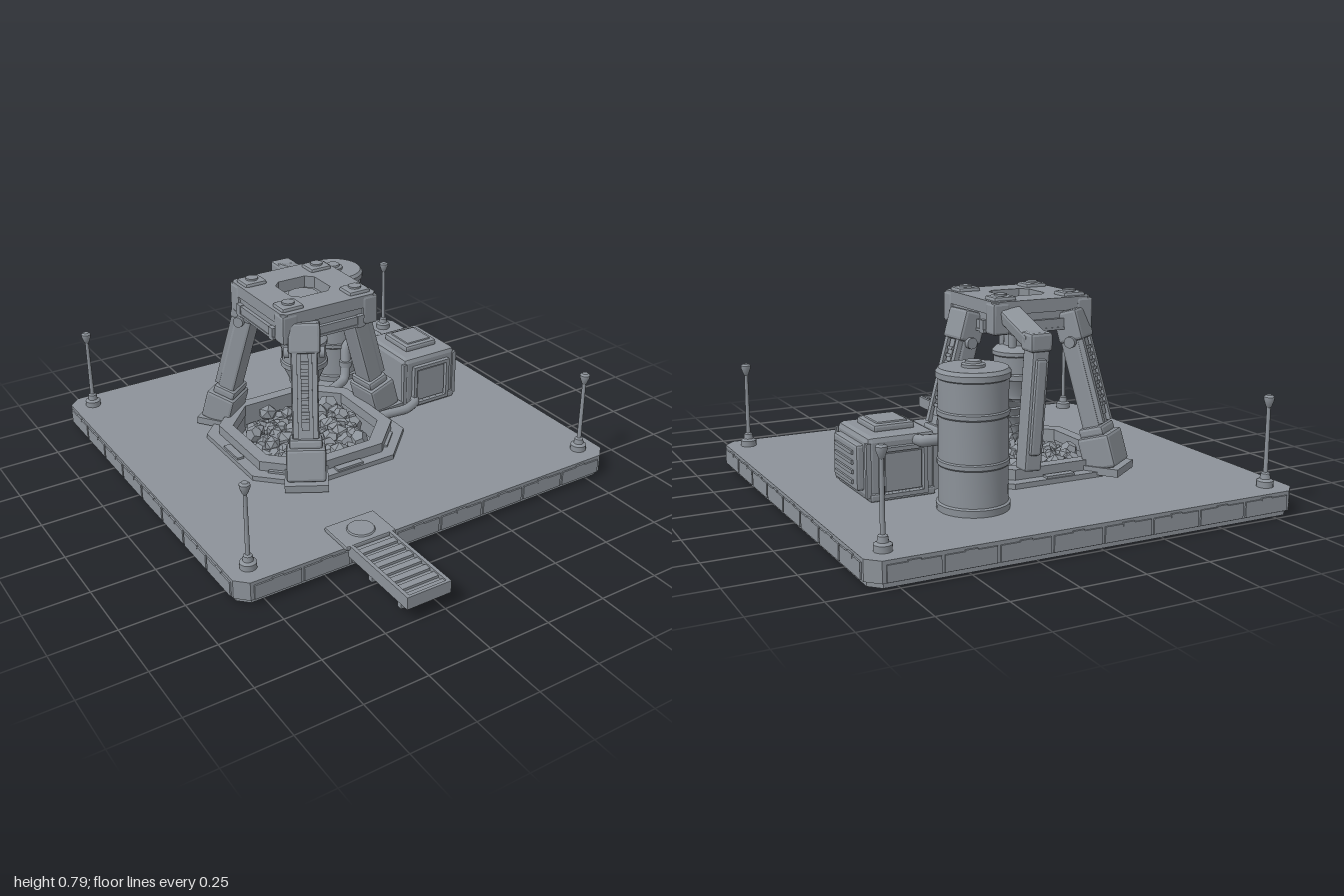
import * as THREE from 'three';
import { toCreasedNormals } from 'three/addons/utils/BufferGeometryUtils.js';
import { RoundedBoxGeometry } from 'three/addons/geometries/RoundedBoxGeometry.js';

const steel = new THREE.MeshStandardMaterial({ color: 0x8c9299 });
steel.name = 'steelGrey';

function add(parent, name, geo, x = 0, y = 0, z = 0) {
  const m = new THREE.Mesh(geo, steel);
  m.name = name;
  m.position.set(x, y, z);
  parent.add(m);
  return m;
}
function group(parent, name, x = 0, y = 0, z = 0) {
  const g = new THREE.Group();
  g.name = name;
  g.position.set(x, y, z);
  parent.add(g);
  return g;
}
// Creases are found at a larger scale so that close vertices stay distinct
const crease = (geo, angle) => toCreasedNormals(geo.scale(100, 100, 100), angle).scale(0.01, 0.01, 0.01);
const box = (p, name, w, h, d, x, y, z) => add(p, name, new THREE.BoxGeometry(w, h, d), x, y, z);
const softBox = (p, name, w, h, d, x, y, z, r = 0.012) =>
  add(p, name, crease(new RoundedBoxGeometry(w, h, d, 1, r), 0.3), x, y, z);
const lathe = (pts, seg = 24) =>
  crease(new THREE.LatheGeometry(pts.map(([r, y]) => new THREE.Vector2(r, y)), seg), 0.6);

// Rectangle with cut corners, centred on (0, cy)
function cutRect(Type, hx, hy, c, cy = 0) {
  const p = [[hx, c - hy], [hx, hy - c], [hx - c, hy], [c - hx, hy], [-hx, hy - c], [-hx, c - hy], [c - hx, -hy], [hx - c, -hy]];
  return new Type(p.map(([x, y]) => new THREE.Vector2(x, y + cy)));
}
// Upright prism, optionally with a hole, standing on its local y = 0
function prism(outer, hole, height) {
  const s = cutRect(THREE.Shape, ...outer);
  if (hole) s.holes.push(cutRect(THREE.Path, ...hole));
  return new THREE.ExtrudeGeometry(s, { depth: height, bevelEnabled: false }).rotateX(-Math.PI / 2);
}
// Box-section beam between two points
function beam(p, name, w, d, a, b) {
  const A = new THREE.Vector3(...a), B = new THREE.Vector3(...b);
  const m = softBox(p, name, w, A.distanceTo(B), d, 0, 0, 0, 0.01);
  m.position.copy(A).add(B).multiplyScalar(0.5);
  m.quaternion.setFromUnitVectors(new THREE.Vector3(0, 1, 0), B.sub(A).normalize());
}
function pipe(p, name, pts, r) {
  const c = new THREE.CatmullRomCurve3(pts.map(v => new THREE.Vector3(...v)), false, 'catmullrom', 0.3);
  add(p, name, new THREE.TubeGeometry(c, 32, r, 10));
}

// Centres of the drill and of the platform
const CX = -0.12, CZ = -0.165, PZ = -0.185;

function buildPlatform(root) {
  const g = group(root, 'platform', 0, 0, PZ);
  add(g, 'platformBottom', prism([0.84, 0.795, 0.04], null, 0.02));
  // Deck with an octagonal pit
  const pit = cutRect(THREE.Path, 0.27, 0.27, 0.125, PZ - CZ).getPoints();
  const deck = cutRect(THREE.Shape, 0.853, 0.808, 0.045);
  deck.holes.push(new THREE.Path(pit.map(v => new THREE.Vector2(v.x + CX, v.y))));
  add(g, 'deck', new THREE.ExtrudeGeometry(deck, { depth: 0.075, bevelEnabled: false }).rotateX(-Math.PI / 2), 0, 0.02, 0);
  // Armoured edge plates and latches
  const sides = [[0, 0.808, 1.6], [Math.PI / 2, 0.853, 1.51], [Math.PI, 0.808, 1.6], [-Math.PI / 2, 0.853, 1.51]];
  for (const [rot, off, len] of sides) {
    const s = group(g, 'edge');
    s.rotation.y = rot;
    const w = len / 8;
    for (let i = 0; i < 8; i++) {
      const x = (i + 0.5) * w - len / 2;
      box(s, 'edgePlate', w - 0.012, 0.058, 0.012, x, 0.052, off);
      box(s, 'edgeLatch', 0.045, 0.014, 0.014, x, 0.079, off);
    }
  }
}

function buildPit(root) {
  const g = group(root, 'pit', CX, 0, CZ);
  add(g, 'pitPad', prism([0.36, 0.36, 0.16], [0.27, 0.27, 0.125], 0.02), 0, 0.095, 0);
  add(g, 'pitRim', prism([0.315, 0.315, 0.14], [0.265, 0.265, 0.122], 0.045), 0, 0.11, 0);
  add(g, 'pitFloor', prism([0.27, 0.27, 0.125], null, 0.02), 0, 0.02, 0);
  for (let i = 0; i < 8; i++) {
    const a = i * Math.PI / 4, r = i % 2 ? 0.345 : 0.338;
    box(g, 'padClamp', 0.03, 0.012, 0.12, Math.cos(a) * r, 0.118, Math.sin(a) * r).rotation.y = -a;
  }
  // Broken ore heap
  let seed = 7;
  const rnd = () => (seed = (seed * 16807) % 2147483647) / 2147483647;
  for (let i = 0; i < 95; i++) {
    const r = 0.235 * Math.sqrt((i + 0.5) / 95), a = i * 2.39996;
    const size = 0.026 + rnd() * 0.022;
    const rock = add(g, 'rock', i % 2 ? new THREE.IcosahedronGeometry(size) : new THREE.DodecahedronGeometry(size),
      Math.cos(a) * r, 0.075 + rnd() * 0.05, Math.sin(a) * r);
    rock.rotation.set(rnd() * 6, rnd() * 6, rnd() * 6);
    rock.scale.set(1, 0.75 + rnd() * 0.3, 0.9 + rnd() * 0.3);
  }
}

function buildLeg(root, degrees) {
  const turn = group(root, 'leg', CX, 0, CZ);
  turn.rotation.y = -degrees * Math.PI / 180;
  const leg = group(turn, 'legFrame', 0.385, 0.12, 0);
  leg.rotation.z = Math.atan2(0.165, 0.57);
  softBox(leg, 'legBeam', 0.075, 0.6, 0.105, 0, 0.31, 0);
  softBox(leg, 'foot', 0.13, 0.13, 0.155, 0.005, 0.065, 0);
  softBox(leg, 'footCollar', 0.1, 0.04, 0.13, 0, 0.145, 0);
  // Outer cover with a ribbed channel
  for (const z of [-0.038, 0.038]) box(leg, 'coverRail', 0.022, 0.38, 0.02, 0.043, 0.36, z);
  box(leg, 'coverPlate', 0.014, 0.3, 0.03, 0.042, 0.35, 0);
  for (let i = 0; i < 9; i++) box(leg, 'coverRib', 0.01, 0.012, 0.03, 0.05, 0.24 + i * 0.028, 0);
  softBox(leg, 'legHead', 0.1, 0.12, 0.125, 0.01, 0.56, 0);
  for (const z of [-0.068, 0.068])
    add(leg, 'legBolt', new THREE.CylinderGeometry(0.022, 0.022, 0.02, 12), 0.01, 0.5, z).rotation.x = Math.PI / 2;
  box(turn, 'footPlate', 0.16, 0.03, 0.17, 0.385, 0.118, 0);
}

function buildHead(root) {
  const g = group(root, 'headFrame', CX, 0, CZ);
  add(g, 'headTop', prism([0.212, 0.212, 0.02], [0.09, 0.09, 0.03], 0.05), 0, 0.72, 0);
  add(g, 'headBody', prism([0.205, 0.205, 0.03], [0.055, 0.055, 0.03], 0.075), 0, 0.647, 0);
  add(g, 'drillMount', new THREE.CylinderGeometry(0.06, 0.06, 0.1, 20), 0, 0.69, 0);
  for (const x of [-1, 1]) for (const z of [-1, 1]) {
    softBox(g, 'cornerPad', 0.095, 0.025, 0.085, x * 0.15, 0.772, z * 0.145, 0.01);
    add(g, 'cornerBolt', new THREE.CylinderGeometry(0.025, 0.025, 0.02, 12), x * 0.15, 0.782, z * 0.145);
    softBox(g, 'cornerBlock', 0.07, 0.12, 0.07, x * 0.18, 0.705, z * 0.18, 0.01);
  }
  // Recessed side panels
  for (let i = 0; i < 4; i++) {
    const s = group(g, 'headSide');
    s.rotation.y = i * Math.PI / 2;
    box(s, 'sidePanel', 0.28, 0.035, 0.02, 0, 0.675, 0.21);
    box(s, 'sidePanelLip', 0.3, 0.01, 0.03, 0, 0.655, 0.208);
    for (const x of [-0.13, 0.13]) box(s, 'sideStud', 0.03, 0.05, 0.026, x, 0.67, 0.21);
  }
}

function buildDrill(root) {
  const g = group(root, 'drill', CX, 0, CZ);
  add(g, 'drillBody', lathe([[0, 0.335], [0.048, 0.335], [0.052, 0.35], [0.062, 0.355], [0.062, 0.37], [0.088, 0.43], [0.096, 0.435],
    [0.096, 0.455], [0.09, 0.46], [0.09, 0.525], [0.096, 0.53], [0.096, 0.545], [0.08, 0.56], [0.05, 0.565], [0.045, 0.66]]));
  for (let i = 0; i < 4; i++) {
    const a = i * Math.PI / 2 + Math.PI / 4;
    add(g, 'drillPiston', new THREE.CylinderGeometry(0.016, 0.016, 0.13, 10), Math.cos(a) * 0.055, 0.6, Math.sin(a) * 0.055);
  }
  // Spiral bit: the radius follows a saw-tooth thread
  const bit = new THREE.CylinderGeometry(1, 1, 0.18, 32, 54);
  const p = bit.attributes.position;
  for (let i = 0; i < p.count; i++) {
    const x = p.getX(i), y = p.getY(i), z = p.getZ(i);
    const t = THREE.MathUtils.clamp((y + 0.09) / 0.18, 0, 1);
    const saw = THREE.MathUtils.euclideanModulo(t * 5 + Math.atan2(z, x) / (2 * Math.PI), 1);
    const r = (0.006 + 0.05 * Math.pow(t, 1.15)) * (0.68 + 0.4 * saw) * Math.min(1, 0.1 + t * 8);
    p.setXYZ(i, x * r, y, z * r);
  }
  add(g, 'drillBit', crease(bit, 0.5), 0, 0.255, 0);
}

function buildChute(root) {
  const g = group(root, 'chute');
  beam(g, 'chuteArm', 0.085, 0.055, [0.015, 0.725, -0.34], [0.05, 0.66, -0.615]);
  beam(g, 'chuteDrop', 0.07, 0.075, [0.035, 0.69, -0.6], [0.07, 0.19, -0.6]);
  softBox(g, 'chuteElbow', 0.09, 0.07, 0.08, 0.045, 0.66, -0.61);
  beam(g, 'chuteCover', 0.045, 0.03, [0.042, 0.6, -0.635], [0.066, 0.25, -0.635]);
}

function buildTank(root) {
  const g = group(root, 'tank', 0.31, 0, -0.635);
  add(g, 'tankShell', lathe([[0, 0.095], [0.13, 0.095], [0.132, 0.12], [0.124, 0.125], [0.124, 0.255], [0.128, 0.26], [0.128, 0.275],
    [0.124, 0.28], [0.124, 0.43], [0.128, 0.435], [0.128, 0.45], [0.124, 0.455], [0.124, 0.56], [0.132, 0.565], [0.132, 0.585], [0.122, 0.598], [0, 0.598]], 32));
  add(g, 'tankCap', lathe([[0.042, 0.595], [0.042, 0.608], [0.03, 0.612], [0.028, 0.62], [0, 0.62]], 20));
}

function buildGenerator(root) {
  const g = group(root, 'generator', 0.49, 0, -0.28);
  softBox(g, 'casing', 0.27, 0.235, 0.3, 0, 0.215, 0, 0.022);
  softBox(g, 'casingBase', 0.255, 0.03, 0.32, 0, 0.11, 0, 0.008);
  softBox(g, 'topHatch', 0.16, 0.03, 0.17, 0, 0.342, 0, 0.01);
  softBox(g, 'topHatchLid', 0.12, 0.02, 0.13, 0, 0.354, 0, 0.006);
  // Framed front and back panels
  for (const s of [-1, 1]) {
    box(g, 'panel', 0.14, 0.14, 0.012, 0, 0.2, s * 0.156);
    for (const k of [-1, 1]) {
      box(g, 'panelFrameSide', 0.015, 0.175, 0.025, k * 0.085, 0.2, s * 0.157);
      box(g, 'panelFrameRail', 0.185, 0.015, 0.025, 0, 0.2 + k * 0.085, s * 0.157);
      box(g, 'cornerRib', 0.018, 0.2, 0.018, k * 0.13, 0.21, s * 0.145);
    }
  }
  softBox(g, 'sideDoor', 0.04, 0.17, 0.23, 0.142, 0.215, 0, 0.01);
  for (let i = 0; i < 4; i++) box(g, 'sideVent', 0.012, 0.014, 0.17, 0.164, 0.16 + i * 0.036, 0);
  // Pipework
  pipe(root, 'feedPipe', [[0.43, 0.3, -0.41], [0.42, 0.31, -0.475], [0.34, 0.31, -0.49], [0.28, 0.28, -0.48], [0.265, 0.2, -0.46], [0.24, 0.14, -0.44], [0.12, 0.12, -0.395]], 0.022);
  add(root, 'feedPipeFlange', new THREE.CylinderGeometry(0.03, 0.03, 0.025, 14), 0.267, 0.21, -0.463);
  pipe(root, 'lowPipe', [[0.15, 0.125, -0.09], [0.25, 0.125, -0.09], [0.34, 0.125, -0.085], [0.4, 0.13, -0.11], [0.42, 0.14, -0.16]], 0.02);
}

function buildGangway(root) {
  const g = group(root, 'gangway', -0.32);
  softBox(g, 'landing', 0.215, 0.02, 0.155, 0, 0.103, 0.565, 0.006);
  add(g, 'landingHub', new THREE.CylinderGeometry(0.05, 0.055, 0.008, 20), 0, 0.115, 0.57);
  box(g, 'walkway', 0.17, 0.012, 0.38, 0, 0.088, 0.81);
  for (const s of [-1, 1]) {
    box(g, 'sideRail', 0.014, 0.05, 0.4, s * 0.085, 0.086, 0.8);
    for (const z of [0.75, 0.93]) box(g, 'support', 0.022, 0.05, 0.022, s * 0.065, 0.045, z);
  }
  for (let i = 0; i < 7; i++) box(g, 'slat', 0.16, 0.012, 0.028, 0, 0.098, 0.68 + i * 0.05);
  box(g, 'endBar', 0.184, 0.05, 0.012, 0, 0.086, 0.994);
}

function buildLamps(root) {
  const post = lathe([[0.032, 0.095], [0.032, 0.118], [0.02, 0.125], [0.017, 0.145], [0.009, 0.15], [0.0075, 0.395],
    [0.011, 0.4], [0.02, 0.425], [0.02, 0.435], [0.012, 0.442], [0, 0.442]], 14);
  for (const x of [-0.768, 0.768]) for (const z of [-0.905, 0.535]) add(root, 'lampPost', post, x, 0, z);
}

export function createModel() {
  const root = group(new THREE.Group(), 'drillingRig');
  root.removeFromParent();
  buildPlatform(root);
  buildPit(root);
  for (const a of [-6, 120, -126]) buildLeg(root, a);
  for (const build of [buildHead, buildDrill, buildChute, buildTank, buildGenerator, buildGangway, buildLamps]) build(root);
  return root;
}
